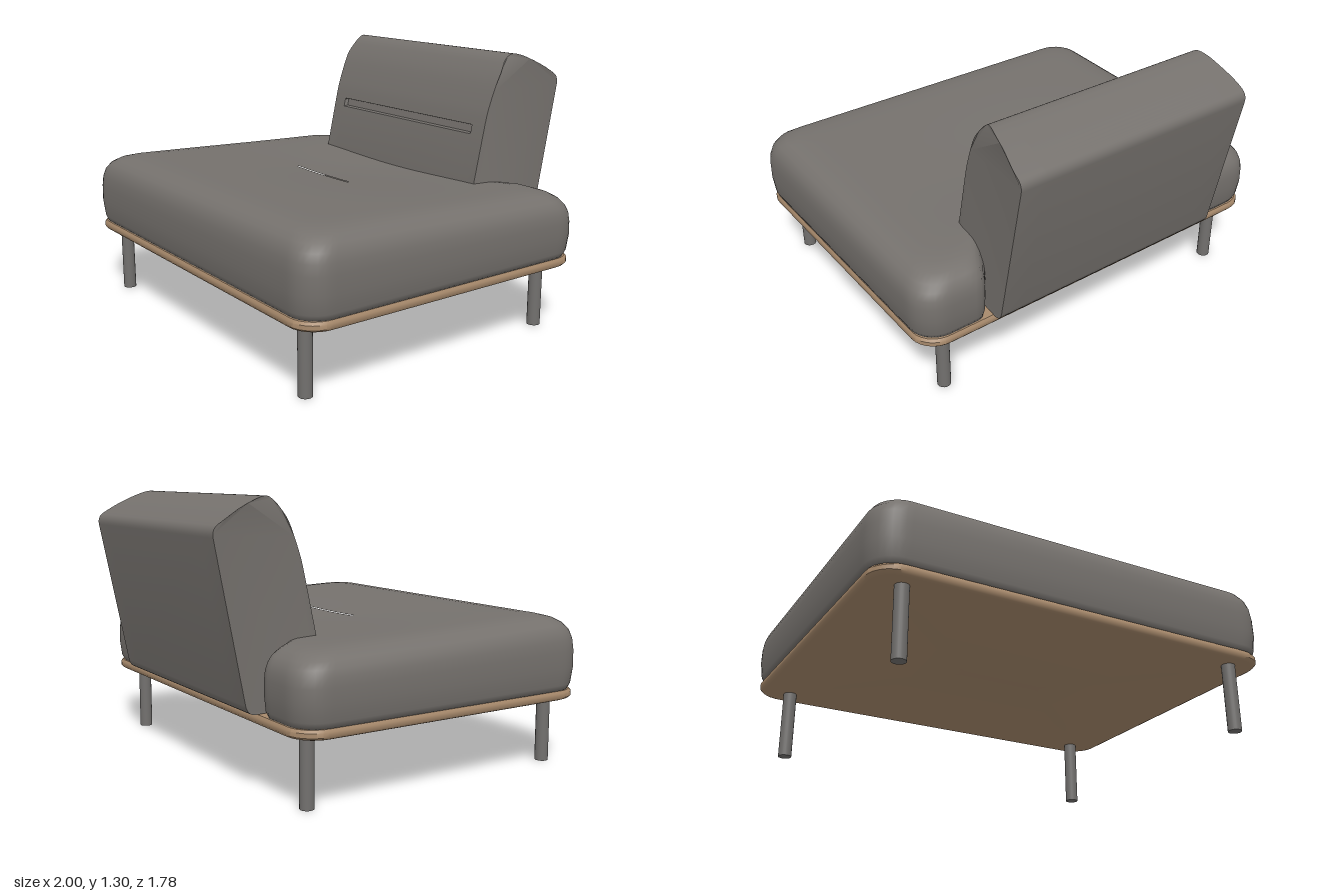
import * as THREE from 'three';
import { toCreasedNormals } from 'three/addons/utils/BufferGeometryUtils.js';

const { smoothstep } = THREE.MathUtils;
const HZ = 0.785, CENTER_Z = 0.1;

// Rounded rectangle outline, counter-clockwise
function outline(hx, hz, r, count) {
  const s = new THREE.Shape();
  s.absarc(hx - r, hz - r, r, 0, Math.PI / 2);
  s.absarc(-hx + r, hz - r, r, Math.PI / 2, Math.PI);
  s.absarc(-hx + r, -hz + r, r, Math.PI, Math.PI * 1.5);
  s.absarc(hx - r, -hz + r, r, Math.PI * 1.5, Math.PI * 2);
  s.closePath();
  return s.getSpacedPoints(count).slice(0, count);
}

// Slab built from stacked rings; each level is [inset, y]
function slab(hx, hz, r, levels, deform) {
  const n = 240, ring = outline(hx, hz, r, n), pos = [], idx = [];
  const v = new THREE.Vector3();
  levels.forEach(([inset, y], i) => ring.forEach((p, j) => {
    v.set(p.x * (hx - inset) / hx, y, -p.y * (hz - inset) / hz + CENTER_Z);
    if (deform) deform(v);
    pos.push(v.x, v.y, v.z);
    if (i < levels.length - 1) {
      const a = i * n + j, b = i * n + (j + 1) % n;
      idx.push(a, b, b + n, a, b + n, a + n);
    }
  }));
  const g = new THREE.BufferGeometry();
  g.setAttribute('position', new THREE.Float32BufferAttribute(pos, 3));
  g.setIndex(idx);
  g.computeVertexNormals();
  return g;
}

// Cushion: slopes to the rear, slightly dished, tucked in behind the backrest
function cushionGeometry() {
  const levels = [
    [HZ, 0.37], [0.02, 0.37], [0.008, 0.4], [0, 0.48], [0.001, 0.56], [0.006, 0.61],
    [0.018, 0.65], [0.04, 0.682], [0.075, 0.706], [0.12, 0.72], [0.18, 0.726],
    [0.26, 0.727], [0.36, 0.727], [0.46, 0.727], [0.57, 0.727], [0.68, 0.727], [HZ, 0.727],
  ];
  return slab(1, HZ + 0.005, 0.13, levels, (v) => {
    const top = smoothstep(v.y, 0.42, 0.72);
    v.y -= top * 0.03 * (0.8 - v.z);
    v.y -= top * 0.03 * Math.exp(-((v.x / 0.55) ** 2) - ((v.z + 0.15) / 0.42) ** 2);
    const tuck = 1 - smoothstep(Math.abs(v.x), 0.57, 0.7);
    v.z += 0.13 * tuck * smoothstep(-v.z, 0.4, 0.69);
  });
}

// Backrest: side profile (z, y) swept across x, with a shallow fold in the front
function backrestGeometry() {
  const s = new THREE.Shape();
  s.moveTo(-0.36, 0.377);
  s.lineTo(-0.342, 0.56);
  s.lineTo(-0.42, 0.912);
  s.lineTo(-0.421, 0.917);
  s.lineTo(-0.429, 0.952);
  s.lineTo(-0.43, 0.957);
  s.splineThru([[-0.452, 1.04], [-0.5, 1.165], [-0.55, 1.25], [-0.585, 1.285], [-0.62, 1.296],
    [-0.68, 1.28], [-0.77, 1.24], [-0.86, 1.188]].map(([x, y]) => new THREE.Vector2(x, y)));
  s.quadraticCurveTo(-0.893, 1.168, -0.886, 1.13);
  s.lineTo(-0.745, 0.42);
  s.quadraticCurveTo(-0.735, 0.378, -0.7, 0.377);
  s.closePath();

  const stations = [-1, -0.513, -0.505, 0.505, 0.513, 1];
  const g = new THREE.ExtrudeGeometry(s, { depth: 5, steps: 5, bevelEnabled: false, curveSegments: 6 });
  const p = g.attributes.position;
  for (let i = 0; i < p.count; i++) {
    let z = p.getX(i);
    const y = p.getY(i), k = Math.round(p.getZ(i));
    // sides narrow softly towards the front face and the crown
    const front = -0.342 - 0.222 * (y - 0.56);
    const depth = smoothstep(front - z, -0.03, 0.2);
    const half = 0.635 - 0.038 * (1 - depth) - 0.03 * smoothstep(y, 1.19, 1.3);
    const x = k === 0 || k === 5 ? stations[k] * half : stations[k];
    if ((k === 2 || k === 3) && z > -0.5 && y > 0.914 && y < 0.955) z -= 0.018;
    p.setXYZ(i, -x, y, z);
  }
  g.deleteAttribute('uv');
  return toCreasedNormals(g, 0.6);
}

export function createModel() {
  const model = new THREE.Group();
  const fabric = new THREE.MeshStandardMaterial({ color: 0x75716d });
  fabric.name = 'greyFabric';
  const wood = new THREE.MeshStandardMaterial({ color: 0xa88a6c });
  wood.name = 'paleWood';
  const metal = new THREE.MeshStandardMaterial({ color: 0x72706e });
  metal.name = 'greyMetal';

  const add = (name, geometry, material) => {
    const mesh = new THREE.Mesh(geometry, material);
    mesh.name = name;
    model.add(mesh);
    return mesh;
  };

  add('seatCushion', cushionGeometry(), fabric);
  add('backrest', backrestGeometry(), fabric);

  // Wooden platform with softened edges
  const plate = [[HZ, 0.325], [0.02, 0.325], [0.008, 0.33], [0, 0.34], [0, 0.36], [0.008, 0.372], [HZ, 0.372]];
  add('woodenBase', toCreasedNormals(slab(0.99, HZ, 0.12, plate), 0.7), wood);

  // Four round legs
  for (const [row, z] of [['front', 0.787], ['back', -0.57]]) {
    for (const [side, x] of [['Left', 0.838], ['Right', -0.838]]) {
      const leg = add(`${row}${side}Leg`, new THREE.CylinderGeometry(0.032, 0.032, 0.328, 24), metal);
      leg.position.set(x, 0.164, z);
    }
  }
  return model;
}
